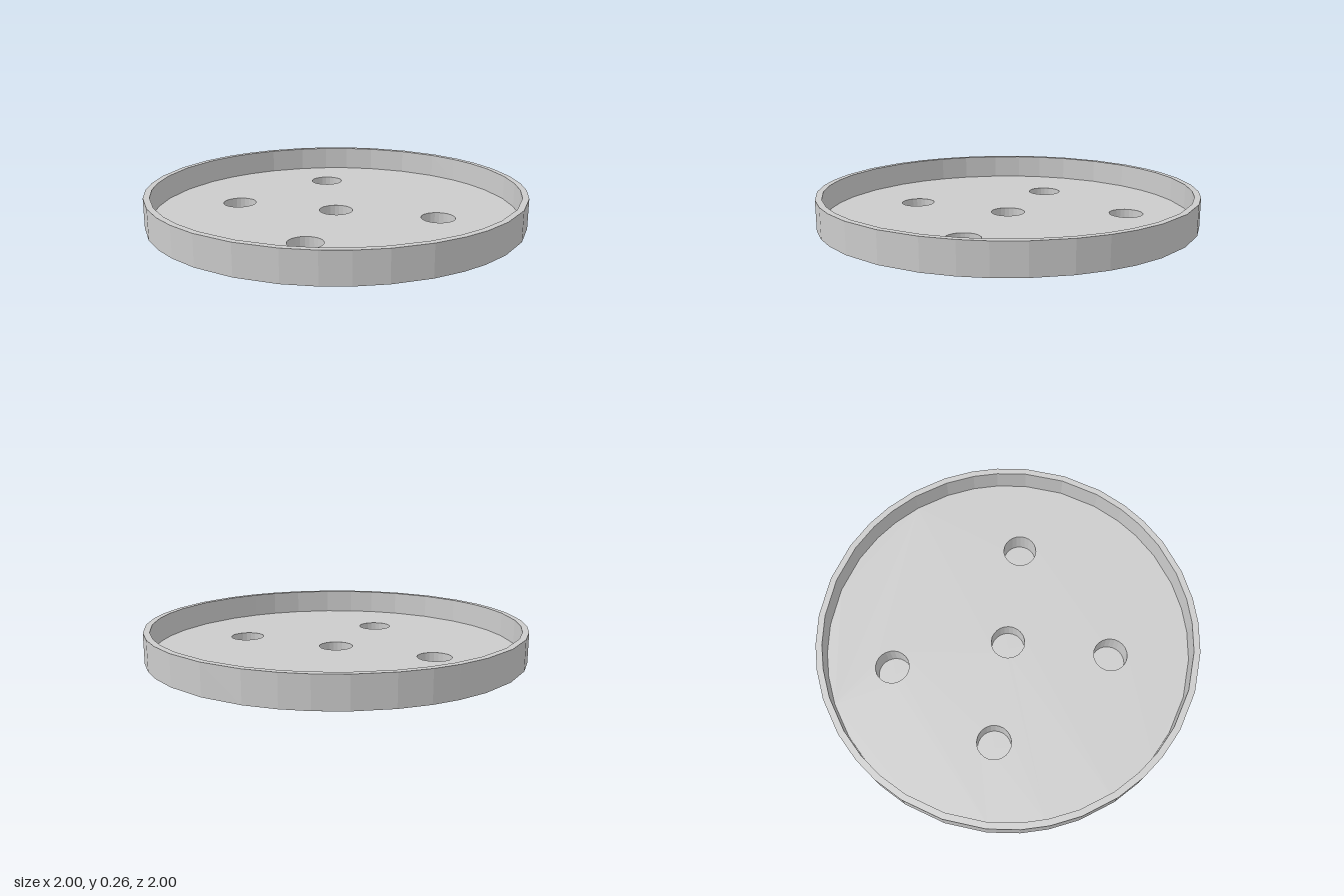
import * as THREE from 'three';

const BOTTOM = 0.096, FLOOR = 0.126, TOP = 0.256;
const OUTER = 1.005, INNER = 0.972, PEG_R = 0.09;

// Uneven rim facets: one quarter turn of corner angles (degrees), repeated four times
const QUARTER = [5.7, 15, 23, 32.5, 45, 57.5, 67, 75, 84.3];
const ANGLES = [];
for (let q = 0; q < 4; q++) {
  for (const a of QUARTER) ANGLES.push(THREE.MathUtils.degToRad(a + q * 90));
}

// Peg centres (x, z) and the height of each closed end
const PEGS = [
  [0, 0, 0.02],
  [0.15, -0.615, 0],
  [-0.46, -0.31, 0],
  [0.46, 0.305, 0],
  [-0.31, 0.46, 0],
];

const material = new THREE.MeshStandardMaterial({
  color: 0xcccccc, flatShading: true, side: THREE.DoubleSide,
});

function part(name, geometry) {
  const flat = geometry.index ? geometry.toNonIndexed() : geometry;
  flat.computeVertexNormals();
  const mesh = new THREE.Mesh(flat, material);
  mesh.name = name;
  return mesh;
}

// Lathed rim whose segments are moved onto the uneven corner angles
function rimGeometry() {
  const profile = [[OUTER, BOTTOM], [OUTER, TOP], [INNER, TOP], [INNER, FLOOR]]
    .map(([r, y]) => new THREE.Vector2(r, y));
  const n = ANGLES.length;
  const geometry = new THREE.LatheGeometry(profile, n);
  const pos = geometry.attributes.position;
  for (let i = 0; i <= n; i++) {
    const a = ANGLES[i % n];
    profile.forEach((p, j) => {
      pos.setXYZ(i * profile.length + j, p.x * Math.sin(a), p.y, p.x * Math.cos(a));
    });
  }
  return geometry;
}

// Thin floor with an opening above every hollow peg
function floorGeometry() {
  const shape = new THREE.Shape(
    ANGLES.map((a) => new THREE.Vector2(INNER * Math.cos(a), INNER * Math.sin(a))));
  for (const [x, z] of PEGS) {
    const hole = new THREE.Path();
    hole.absarc(x, -z, PEG_R, 0, Math.PI * 2, true);
    shape.holes.push(hole);
  }
  return new THREE.ShapeGeometry(shape, 12).rotateX(-Math.PI / 2).translate(0, FLOOR, 0);
}

// Hollow peg: closed end below, open at the floor
function pegGeometry(x, z, end) {
  const profile = [[0, end], [PEG_R, end], [PEG_R, FLOOR]]
    .map(([r, y]) => new THREE.Vector2(r, y));
  return new THREE.LatheGeometry(profile, 24).translate(x, 0, z);
}

export function createModel() {
  const model = new THREE.Group();
  model.name = 'peggedTray';
  model.add(part('rim', rimGeometry()), part('floor', floorGeometry()));
  PEGS.forEach(([x, z, end], i) => {
    model.add(part(i === 0 ? 'centrePeg' : `outerPeg${i}`, pegGeometry(x, z, end)));
  });
  return model;
}
